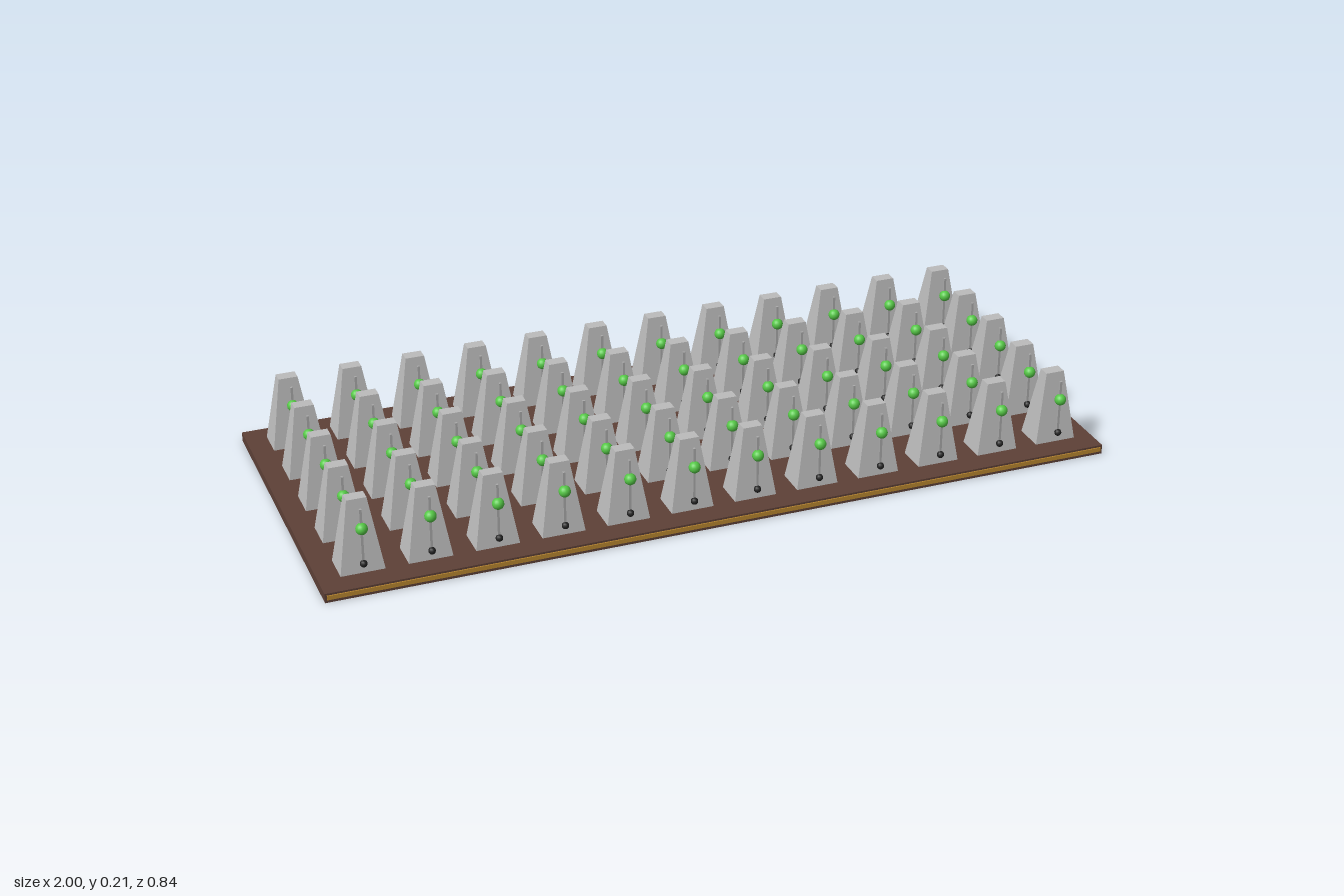
import * as THREE from 'three';

const mat = (name, color, flatShading = false) => {
  const m = new THREE.MeshStandardMaterial({ color, flatShading });
  m.name = name;
  return m;
};

// Box whose top face is narrowed to its own width and depth
function taperedBox(w, h, d, topW, topD) {
  const g = new THREE.BoxGeometry(w, h, d);
  const p = g.attributes.position;
  for (let i = 0; i < p.count; i++) {
    if (p.getY(i) > 0) {
      p.setX(i, Math.sign(p.getX(i)) * topW / 2);
      p.setZ(i, Math.sign(p.getZ(i)) * topD / 2);
    }
  }
  g.computeVertexNormals();
  return g;
}

export function createModel() {
  const brown = mat('brown wood', 0x5d4037);
  const gold = mat('gold trim', 0xb8862f);
  const grey = mat('grey body', 0xbbbbbb, true);
  const steel = mat('steel rod', 0xaaaaaa);
  const green = mat('green weight', 0x55c846);
  const black = mat('black pivot', 0x222222);

  const model = new THREE.Group();
  model.name = 'metronomeArray';
  const add = (parent, name, geometry, material, x, y, z) => {
    const mesh = new THREE.Mesh(geometry, material);
    mesh.name = name;
    mesh.position.set(x, y, z);
    parent.add(mesh);
  };

  // Board with a thin strip along the front edge
  add(model, 'board', new THREE.BoxGeometry(2, 0.024, 0.836), brown, 0, 0.012, -0.001);
  add(model, 'frontTrim', new THREE.BoxGeometry(1.99, 0.011, 0.003), gold, 0, 0.0135, 0.4185);

  // Shared metronome parts
  const body = taperedBox(0.107, 0.182, 0.079, 0.048, 0.031);
  const rod = new THREE.BoxGeometry(0.006, 0.145, 0.006);
  const weight = new THREE.SphereGeometry(0.0145, 16, 12);
  const pivot = new THREE.SphereGeometry(0.009, 10, 8);

  // Five rows of twelve metronomes
  for (let row = 0; row < 5; row++) {
    for (let col = 0; col < 12; col++) {
      const unit = new THREE.Group();
      unit.name = `metronome${row + 1}x${col + 1}`;
      unit.position.set((col - 5.5) * 0.1627, 0, (row - 2) * 0.1625);
      add(unit, 'body', body, grey, 0, 0.12, 0);
      add(unit, 'rod', rod, steel, 0, 0.1275, 0.046);
      add(unit, 'weight', weight, green, 0, 0.151, 0.05);
      add(unit, 'pivot', pivot, black, 0, 0.059, 0.05);
      model.add(unit);
    }
  }
  return model;
}
